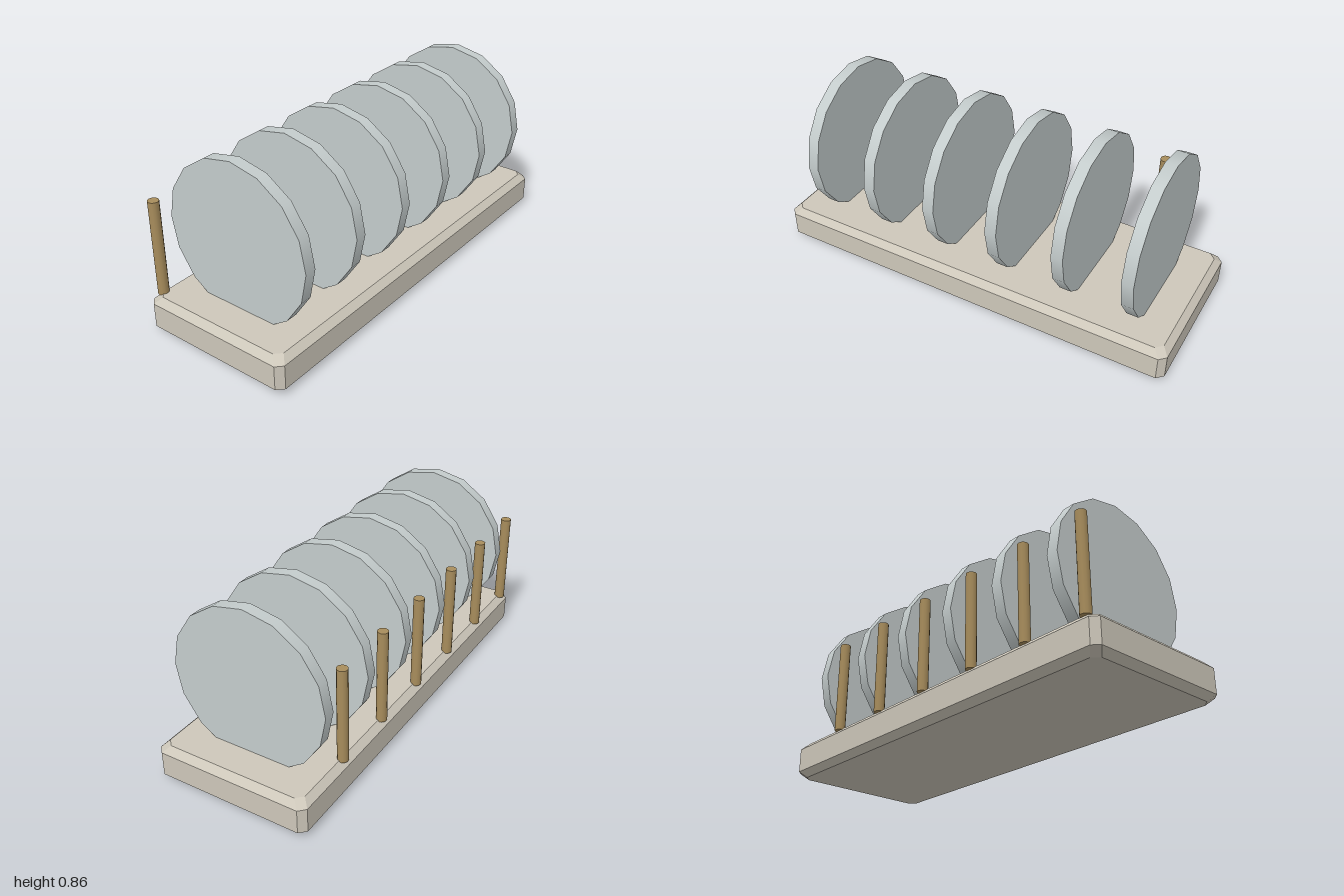
import * as THREE from 'three';
import { ConvexGeometry } from 'three/addons/geometries/ConvexGeometry.js';

const material = (color, flatShading = false) => {
  const m = new THREE.MeshStandardMaterial({ flatShading });
  m.color.set(color);
  return m;
};

// Rectangle with cut corners, lying flat at height y
function cutCornerRing(x, z, cut, y) {
  const points = [];
  for (const sx of [-1, 1]) for (const sz of [-1, 1]) {
    points.push(new THREE.Vector3(sx * x, y, sz * (z - cut)));
    points.push(new THREE.Vector3(sx * (x - cut), y, sz * z));
  }
  return points;
}

export function createModel() {
  const model = new THREE.Group();
  model.name = 'plateRack';

  // Base slab, chamfered on every edge
  const halfX = 1, halfZ = 0.372, height = 0.175, c = 0.03;
  const base = new THREE.Mesh(new ConvexGeometry([
    ...cutCornerRing(halfX - c, halfZ - c, c, 0),
    ...cutCornerRing(halfX, halfZ, c, c),
    ...cutCornerRing(halfX, halfZ, c, height - c),
    ...cutCornerRing(halfX - c, halfZ - c, c, height),
  ]), material(0xcdc7ba, true));
  base.name = 'base';
  model.add(base);

  // Upright discs sunk into the base, each with a peg beside its back edge
  const discGeometry = new THREE.CylinderGeometry(0.372, 0.372, 0.056, 16).rotateZ(Math.PI / 2);
  const pegGeometry = new THREE.CylinderGeometry(0.025, 0.025, 0.452, 12);
  const discMaterial = material(0xc4cccc);
  const pegMaterial = material(0xa88d5c);
  const spacing = 0.32;
  for (let i = 0; i < 6; i++) {
    const x = (i - 2.5) * spacing;

    const disc = new THREE.Mesh(discGeometry, discMaterial);
    disc.name = `plate${i + 1}`;
    disc.position.set(x, 0.488, 0);

    const peg = new THREE.Mesh(pegGeometry, pegMaterial);
    peg.name = `peg${i + 1}`;
    peg.position.set(x - 0.135, 0.394, -0.346);

    model.add(disc, peg);
  }
  return model;
}
